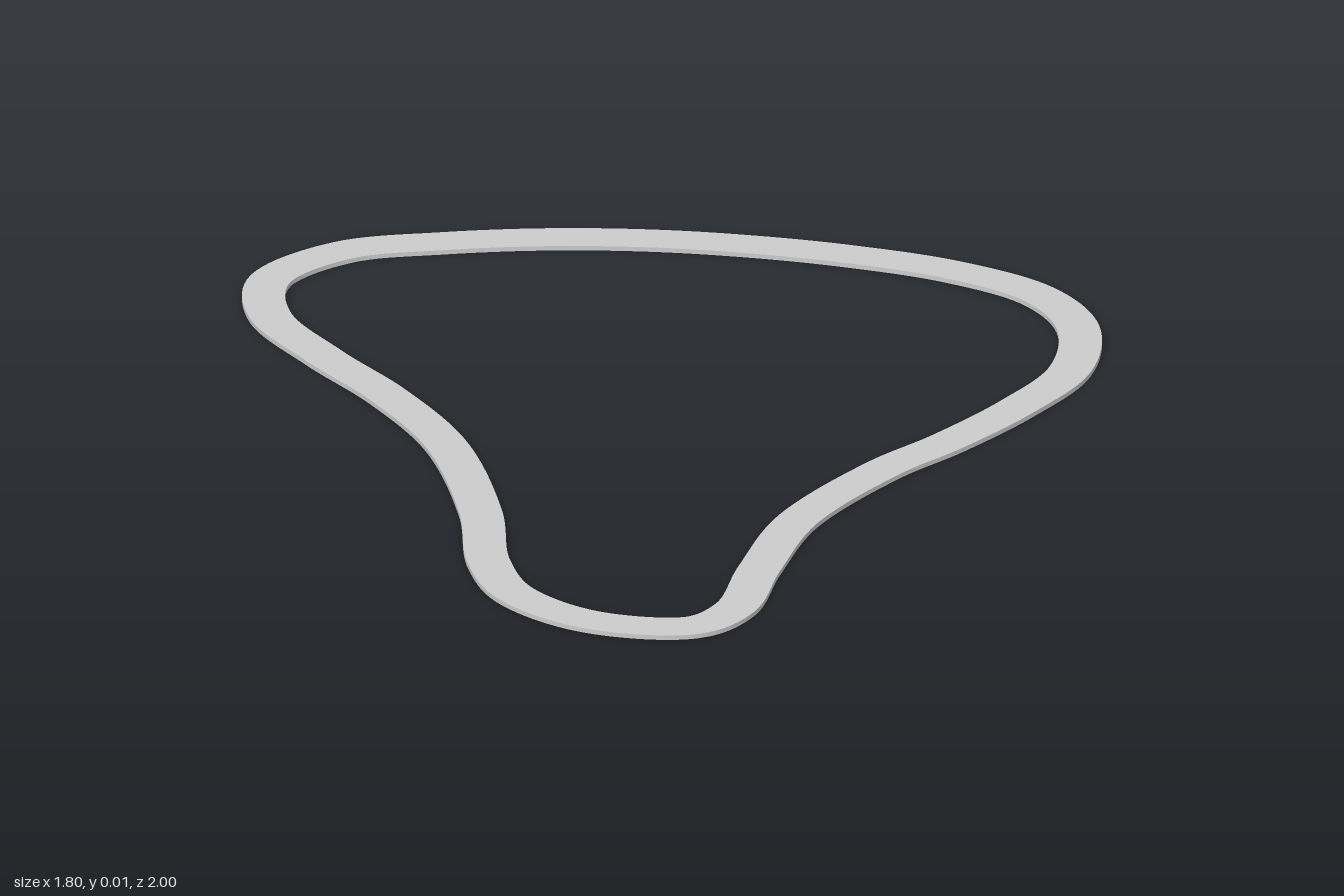
import * as THREE from 'three';
import { toCreasedNormals } from 'three/addons/utils/BufferGeometryUtils.js';

const WIDTH = 0.09, HEIGHT = 0.01, STEPS = 300;

// Centre line of the circuit as [x, z], clockwise seen from above
const PATH = [
  [0.43, -0.955], [0.64, -0.915], [0.78, -0.80], [0.853, -0.59], [0.825, -0.38],
  [0.76, -0.16], [0.69, 0.016], [0.627, 0.32], [0.65, 0.58], [0.68, 0.785],
  [0.635, 0.895], [0.43, 0.953], [0.235, 0.895], [0.12, 0.77], [0.005, 0.545],
  [-0.20, 0.255], [-0.405, 0.08], [-0.60, -0.045], [-0.785, -0.19], [-0.855, -0.36],
  [-0.77, -0.55], [-0.60, -0.67], [-0.405, -0.775], [-0.20, -0.855], [0, -0.908], [0.2, -0.942],
];

// Sweeps a flat rectangular section along a closed level curve
function sweepFlat(curve, width, height, steps) {
  const positions = [], index = [];
  const section = [[1, 0], [1, height], [-1, height], [-1, 0]];
  for (let i = 0; i < steps; i++) {
    const p = curve.getPointAt(i / steps);
    const t = curve.getTangentAt(i / steps);
    for (const [side, y] of section) {
      const d = side * width / 2;
      positions.push(p.x + t.z * d, y, p.z - t.x * d);
    }
    for (let k = 0; k < 4; k++) {
      const next = ((i + 1) % steps) * 4, k2 = (k + 1) % 4;
      const a = i * 4 + k, b = i * 4 + k2, c = next + k, d = next + k2;
      index.push(a, b, c, c, b, d);
    }
  }
  const geometry = new THREE.BufferGeometry();
  geometry.setAttribute('position', new THREE.Float32BufferAttribute(positions, 3));
  geometry.setIndex(index);
  return toCreasedNormals(geometry, Math.PI / 5);
}

export function createModel() {
  const group = new THREE.Group();
  group.name = 'circuit';
  const curve = new THREE.CatmullRomCurve3(
    PATH.map(([x, z]) => new THREE.Vector3(x, 0, z)), true, 'centripetal');
  curve.arcLengthDivisions = 1000;

  // Road ribbon
  const road = new THREE.Mesh(
    sweepFlat(curve, WIDTH, HEIGHT, STEPS),
    new THREE.MeshStandardMaterial({ color: 0xcccccc }));
  road.name = 'road';
  group.add(road);
  return group;
}
